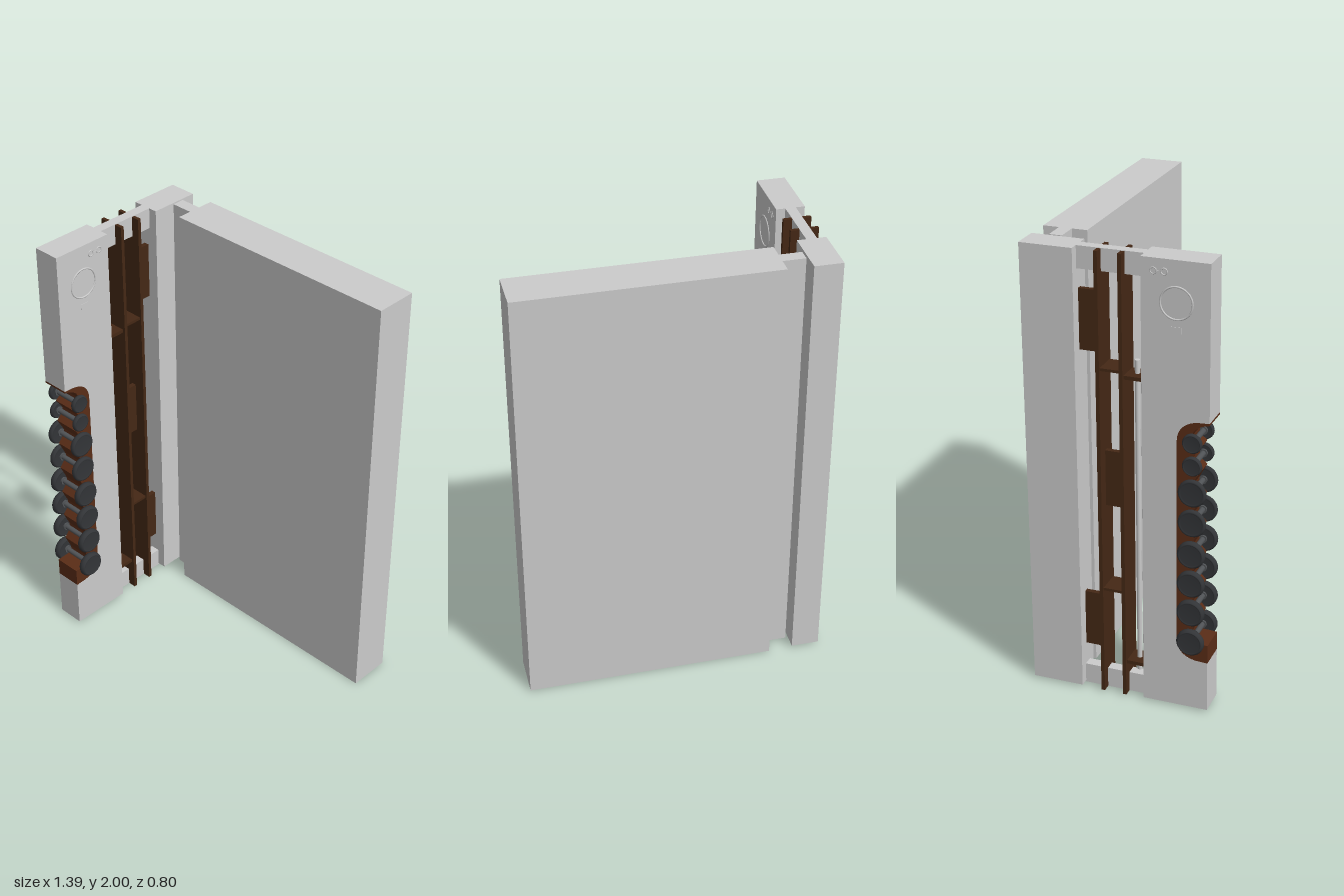
import * as THREE from 'three';

const CX = -0.597; // centre plane of the storage wall
const mat = (c) => new THREE.MeshStandardMaterial({ color: c, side: THREE.DoubleSide });

export function createModel() {
  const root = new THREE.Group();
  const grey = mat(0xcccccc), liner = mat(0x5a2d17), wood = mat(0x452815);
  const rubber = mat(0x333538), steel = mat(0x505356);

  const add = (name, geo, m, x = 0, y = 0, z = 0, parent = root) => {
    const mesh = new THREE.Mesh(geo, m);
    mesh.name = name;
    mesh.position.set(x, y, z);
    parent.add(mesh);
    return mesh;
  };
  // box from its limits on each axis
  const box = (name, m, x0, x1, y0, y1, z0, z1) =>
    add(name, new THREE.BoxGeometry(x1 - x0, y1 - y0, z1 - z0), m, (x0 + x1) / 2, (y0 + y1) / 2, (z0 + z1) / 2);
  // side profile drawn as (z, y), extruded across x about the centre plane
  const sideExtrude = (name, shape, width, m) => {
    const geo = new THREE.ExtrudeGeometry(shape, { depth: width, bevelEnabled: false, curveSegments: 12 });
    geo.translate(0, 0, -width / 2);
    geo.rotateY(-Math.PI / 2);
    return add(name, geo, m, CX);
  };

  // Large door panel with its narrow edge tongue
  box('doorPanel', grey, -0.425, 0.693, 0, 2, -0.398, -0.205);
  box('doorTongue', grey, -0.525, -0.425, 0, 2, -0.328, -0.272);

  // Rear post, top and bottom beams, floor rail
  box('rearPost', grey, -0.66, -0.534, 0.01, 2, -0.4, -0.172);
  box('topBeam', grey, -0.62, -0.574, 1.905, 2, -0.172, 0.113);
  box('bottomBeam', grey, -0.62, -0.574, 0.01, 0.095, -0.172, 0.113);
  box('floorRail', grey, -0.618, -0.576, 0.002, 0.01, -0.39, 0.37);

  // Front column with a rounded recess in its front edge
  const column = new THREE.Shape();
  column.moveTo(0.113, 0.01);
  column.lineTo(0.4, 0.01);
  column.lineTo(0.4, 0.24);
  column.lineTo(0.36, 0.242);
  column.bezierCurveTo(0.3, 0.245, 0.262, 0.28, 0.262, 0.335);
  column.lineTo(0.262, 1.245);
  column.bezierCurveTo(0.262, 1.3, 0.3, 1.335, 0.36, 1.338);
  column.lineTo(0.4, 1.34);
  column.lineTo(0.4, 2);
  column.lineTo(0.113, 2);
  sideExtrude('frontColumn', column, 0.126, grey);

  // Weights, bottom to top: height, disc radius, half span, disc thickness
  const weights = [
    [0.345, 0.06, 0.1, 0.026], [0.485, 0.06, 0.099, 0.026], [0.62, 0.06, 0.096, 0.025], [0.755, 0.06, 0.094, 0.025],
    [0.895, 0.06, 0.083, 0.018], [1.03, 0.06, 0.083, 0.018], [1.15, 0.042, 0.083, 0.016], [1.25, 0.042, 0.083, 0.016],
  ];

  // Cradle lining the recess, notched for every handle
  const cradle = new THREE.Shape();
  cradle.moveTo(0.4, 1.34);
  cradle.lineTo(0.36, 1.338);
  cradle.bezierCurveTo(0.3, 1.335, 0.262, 1.3, 0.262, 1.245);
  cradle.lineTo(0.262, 0.335);
  cradle.bezierCurveTo(0.262, 0.28, 0.3, 0.245, 0.36, 0.242);
  cradle.lineTo(0.4, 0.24);
  cradle.lineTo(0.4, 0.325);
  weights.forEach(([y], i) => {
    cradle.lineTo(0.318, y - 0.016);
    cradle.lineTo(0.318, y + 0.016);
    const next = weights[i + 1];
    if (next) cradle.lineTo(0.35, y + (next[0] - y) * 0.62);
  });
  cradle.lineTo(0.335, 1.3);
  cradle.quadraticCurveTo(0.36, 1.325, 0.4, 1.331);
  sideExtrude('weightCradle', cradle, 0.125, liner);

  // Dumbbells lying across the cradle
  for (const [y, r, half, t] of weights) {
    const bell = new THREE.Group();
    bell.name = 'dumbbell';
    bell.position.set(CX, y, 0.332);
    root.add(bell);
    const b = t * 0.25;
    const profile = [
      [0, -t / 2], [r * 0.76, -t / 2], [r * 0.8, -t / 2 - 0.003], [r - b, -t / 2 - 0.003], [r, -t / 2 + b],
      [r, t / 2 - b], [r - b, t / 2 + 0.003], [r * 0.8, t / 2 + 0.003], [r * 0.76, t / 2], [0, t / 2],
    ].map(([a, h]) => new THREE.Vector2(a, h));
    for (const s of [-1, 1]) {
      add('weightDisc', new THREE.LatheGeometry(profile, 28), rubber, s * (half - t / 2), 0, 0, bell).rotation.z = Math.PI / 2;
      add('handleCollar', new THREE.CylinderGeometry(0.018, 0.018, 0.008, 16), steel, s * (half - t - 0.004), 0, 0, bell)
        .rotation.z = Math.PI / 2;
    }
    add('handle', new THREE.CylinderGeometry(0.012, 0.012, 2 * (half - t), 16), steel, 0, 0, 0, bell).rotation.z = Math.PI / 2;
  }

  // Round ring and small buttons on both faces of the column
  for (const s of [-1, 1]) {
    const x = CX + s * 0.063;
    add('faceRing', new THREE.TorusGeometry(0.067, 0.004, 8, 40), grey, x, 1.825, 0.26).rotation.y = Math.PI / 2;
    add('faceButton', new THREE.BoxGeometry(0.004, 0.026, 0.042), grey, x, 1.715, 0.26);
    for (const z of [0.21, 0.165])
      add('smallKnob', new THREE.TorusGeometry(0.013, 0.003, 6, 16), grey, x, 1.948, z).rotation.y = Math.PI / 2;
    add('knobLink', new THREE.BoxGeometry(0.004, 0.006, 0.02), grey, x, 1.948, 0.1875);
  }

  // Upright boards, forked at both ends to straddle the beams
  for (const z of [0.024, -0.076]) {
    box('uprightBoard', wood, -0.658, -0.536, 0.095, 1.905, z - 0.008, z + 0.008);
    for (const [x0, x1] of [[-0.658, -0.62], [-0.574, -0.536]])
      for (const [y0, y1] of [[0.004, 0.095], [1.905, 1.998]])
        box('boardFork', wood, x0, x1, y0, y1, z - 0.008, z + 0.008);
  }

  // Thin centre panels between the boards
  for (const [y0, y1, z0, z1] of [[1.56, 1.82, -0.172, -0.084], [0.195, 0.45, -0.172, -0.084], [0.88, 1.13, -0.068, 0.016]])
    box('backPanel', wood, CX - 0.011, CX + 0.011, y0, y1, z0, z1);

  // Shelves between the boards, and rod holders by the column
  for (const y of [0.503, 1.503]) box('shelf', wood, -0.651, -0.543, y - 0.006, y + 0.006, -0.068, 0.016);
  for (const y of [0.162, 1.48]) box('rodHolder', wood, -0.645, -0.549, y - 0.008, y + 0.008, 0.032, 0.113);

  // Vertical rods
  for (const z of [0.1, 0.073])
    add('rod', new THREE.CylinderGeometry(0.011, 0.011, 1.435, 16), grey, CX, 0.828, z);

  return root;
}
